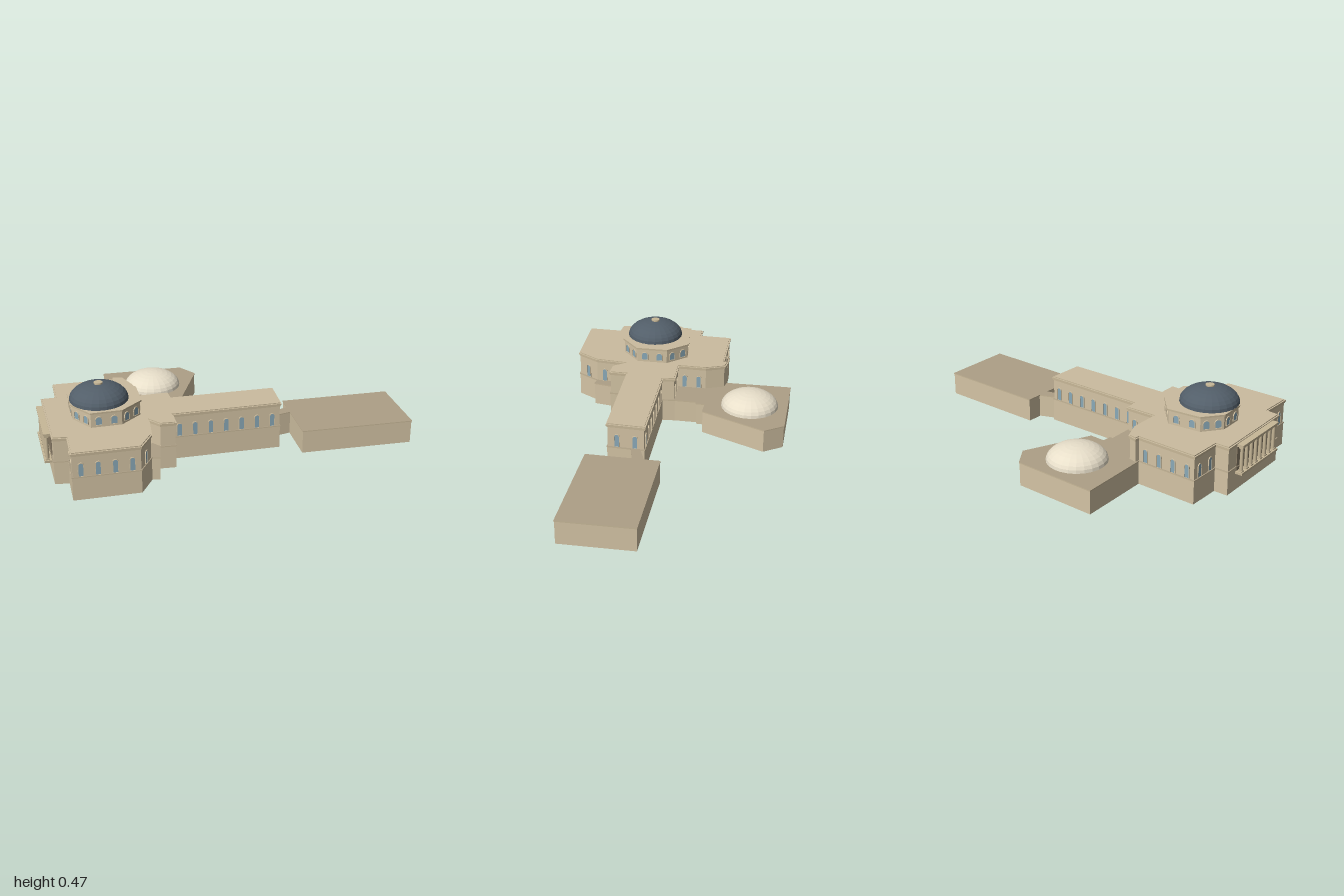
import * as THREE from 'three';

const mat = (color, extra = {}) => new THREE.MeshStandardMaterial({ color, roughness: 0.9, ...extra });
const wallMat = mat(0xd4c4a5, { side: THREE.DoubleSide });
const trimMat = mat(0xc8b898);
const recessMat = mat(0x8c7e68);
const roofMat = mat(0xcbbc9f);
const lowRoofMat = mat(0xaea087);
const glassMat = mat(0x8aa9b8);
const domeMat = mat(0x525e69, { flatShading: true });
const paleDomeMat = mat(0xe8dfca, { flatShading: true });

// Plan outlines as [x, z], running front left -> front right -> back
const FRONT = [
  [-0.836, 0.43], [-0.69, 0.55], [-0.74, 0.615], [-0.325, 0.93],
  [-0.27, 0.873], [-0.12, 0.995], [0.112, 0.695], [0.06, 0.555],
];
const MAIN = [
  ...FRONT, [-0.07, 0.43], [0.01, 0.43], [0.07, 0.36], [-0.012, 0.295],
  [0.377, -0.207], [0.21, -0.35], [-0.17, 0.13], [-0.23, 0.09], [-0.34, 0.235], [-0.47, 0.13],
  [-0.585, 0.095], [-0.63, 0.13], [-0.61, 0.15],
];
// Ground floor: hall, wing, link, far block and annex in one outline
const GROUND = [
  ...FRONT, [0.095, 0.525], [0.01, 0.43], [0.07, 0.36], [-0.012, 0.295], [0.377, -0.207],
  [0.272, -0.297], [0.315, -0.39], [0.52, -0.225], [0.94, -0.74], [0.605, -1.0], [0.19, -0.49],
  [0.262, -0.433], [0.23, -0.333], [0.21, -0.35], [-0.17, 0.13], [-0.23, 0.09],
  [-0.33, 0.01], [-0.32, -0.005], [-0.36, -0.04], [-0.3, -0.11], [-0.49, -0.48], [-0.625, -0.49],
  [-0.94, -0.105], [-0.61, 0.15],
];
const DRUM = [
  [-0.557, 0.475], [-0.525, 0.61], [-0.405, 0.70], [-0.245, 0.713],
  [-0.138, 0.57], [-0.145, 0.41], [-0.29, 0.295], [-0.45, 0.306],
];

// Move each edge of an outline inwards by d, with mitred corners
function inset(poly, d) {
  const normal = (a, b) => new THREE.Vector2(-(b[1] - a[1]), b[0] - a[0]).normalize();
  return poly.map((p, i) => {
    const n1 = normal(poly[(i + poly.length - 1) % poly.length], p);
    const n2 = normal(p, poly[(i + 1) % poly.length]);
    const k = d / (1 + n1.dot(n2));
    return [p[0] - (n1.x + n2.x) * k, p[1] - (n1.y + n2.y) * k];
  });
}

// Solid slab over a plan outline
function slab(name, poly, y0, y1, cap) {
  const shape = new THREE.Shape(poly.map(([x, z]) => new THREE.Vector2(x, -z)));
  const geo = new THREE.ExtrudeGeometry(shape, { depth: y1 - y0, bevelEnabled: false });
  geo.rotateX(-Math.PI / 2).translate(0, y0, 0);
  const mesh = new THREE.Mesh(geo, [cap, trimMat]);
  mesh.name = name;
  return mesh;
}

// Thin upright walls along an outline, open above and below
function walls(name, poly, y0, y1) {
  const pos = [];
  poly.forEach(([ax, az], i) => {
    const [bx, bz] = poly[(i + 1) % poly.length];
    pos.push(ax, y0, az, bx, y0, bz, bx, y1, bz, ax, y0, az, bx, y1, bz, ax, y1, az);
  });
  const geo = new THREE.BufferGeometry();
  geo.setAttribute('position', new THREE.Float32BufferAttribute(pos, 3));
  geo.computeVertexNormals();
  const mesh = new THREE.Mesh(geo, wallMat);
  mesh.name = name;
  return mesh;
}

// Round-headed opening, standing on y = 0
function trace(path, w, h) {
  path.moveTo(-w / 2, 0).lineTo(w / 2, 0).lineTo(w / 2, h - w / 2);
  path.absarc(0, h - w / 2, w / 2, 0, Math.PI, false);
  path.lineTo(-w / 2, 0);
  return path;
}

// Evenly spaced windows along every long wall of an outline, except the wall numbered skip
function windows(name, poly, y, w, h, spacing, minLength, skip) {
  const group = new THREE.Group();
  group.name = name;
  const outer = trace(new THREE.Shape(), w + 0.008, h + 0.004);
  outer.holes.push(trace(new THREE.Path(), w, h));
  const frame = new THREE.ExtrudeGeometry(outer, { depth: 0.005, bevelEnabled: false, curveSegments: 6 });
  const pane = new THREE.ShapeGeometry(trace(new THREE.Shape(), w, h), 6);
  poly.forEach((a, i) => {
    const b = poly[(i + 1) % poly.length];
    const dx = b[0] - a[0], dz = b[1] - a[1], length = Math.hypot(dx, dz);
    if (length < minLength || i === skip) return;
    const n = Math.max(1, Math.round((length - 0.02) / spacing));
    for (let k = 0; k < n; k++) {
      const t = (k + 0.5) / n;
      const win = new THREE.Group();
      win.name = 'window';
      const glass = new THREE.Mesh(pane, glassMat);
      glass.name = 'pane';
      glass.position.z = 0.002;
      const surround = new THREE.Mesh(frame, wallMat);
      surround.name = 'frame';
      win.add(glass, surround);
      win.position.set(a[0] + dx * t, y, a[1] + dz * t);
      win.rotation.y = Math.atan2(-dz, dx);
      group.add(win);
    }
  });
  return group;
}

// Flattened half-dome
function dome(name, x, y, z, r, h, material) {
  const geo = new THREE.SphereGeometry(r, 24, 8, 0, Math.PI * 2, 0, Math.PI / 2);
  geo.scale(1, h / r, 1);
  const mesh = new THREE.Mesh(geo, material);
  mesh.name = name;
  mesh.position.set(x, y, z);
  return mesh;
}

// Colonnade on the entrance wall, with a dark recess behind it
function portico() {
  const group = new THREE.Group();
  group.name = 'portico';
  const box = (name, w, d, y0, y1, z, material) => {
    const m = new THREE.Mesh(new THREE.BoxGeometry(w, y1 - y0, d), material);
    m.name = name;
    m.position.set(0, (y0 + y1) / 2, z);
    group.add(m);
  };
  box('porticoFloor', 0.375, 0.056, 0.1, 0.113, 0.012, trimMat);
  box('recess', 0.355, 0.006, 0.113, 0.258, -0.004, recessMat);
  box('entablature', 0.36, 0.048, 0.257, 0.267, 0.011, trimMat);
  box('porticoCornice', 0.37, 0.054, 0.267, 0.275, 0.012, trimMat);
  const shaft = new THREE.CylinderGeometry(0.009, 0.0105, 0.132, 12);
  const block = new THREE.BoxGeometry(0.025, 0.007, 0.024);
  for (let i = 0; i < 8; i++) {
    const add = (name, geo, y) => {
      const m = new THREE.Mesh(geo, trimMat);
      m.name = name;
      m.position.set(-0.167 + (i * 0.334) / 7, y, 0.021);
      group.add(m);
    };
    add('column', shaft, 0.185);
    add('columnBase', block, 0.1165);
    add('columnCapital', block, 0.2535);
  }
  group.position.set(-0.53, 0, 0.774);
  group.rotation.y = Math.atan2(-0.605, 0.796);
  return group;
}

export function createModel() {
  const model = new THREE.Group();
  model.name = 'domedBuilding';

  // Hollow ground floor with a lipped flat roof
  model.add(
    walls('groundWalls', inset(GROUND, 0.003), 0, 0.134),
    slab('groundRoof', GROUND, 0.134, 0.14, lowRoofMat),
  );

  // Upper storey of the hall and wing
  const upper = inset(MAIN, 0.006);
  model.add(
    walls('upperWalls', upper, 0.14, 0.264),
    slab('upperFrieze', inset(MAIN, 0.002), 0.262, 0.27, roofMat),
    slab('upperCornice', inset(MAIN, -0.002), 0.27, 0.279, roofMat),
    slab('upperRoof', inset(MAIN, 0.006), 0.279, 0.284, roofMat),
    windows('upperWindows', upper, 0.142, 0.026, 0.076, 0.088, 0.13, 2),
    portico(),
  );

  // Drum and dark dome with its cap
  const drum = inset(DRUM, 0.006);
  const cap = new THREE.Mesh(new THREE.CylinderGeometry(0.025, 0.025, 0.012, 16), trimMat);
  cap.name = 'domeCap';
  cap.position.set(-0.345, 0.468, 0.54);
  model.add(
    walls('drumWalls', drum, 0.284, 0.366),
    slab('drumCornice', inset(DRUM, -0.002), 0.365, 0.375, roofMat),
    windows('drumWindows', drum, 0.298, 0.034, 0.046, 0.07, 0.1),
    dome('mainDome', -0.345, 0.375, 0.54, 0.167, 0.092, domeMat),
    cap,
    dome('annexDome', -0.588, 0.14, -0.18, 0.17, 0.09, paleDomeMat),
  );
  return model;
}
